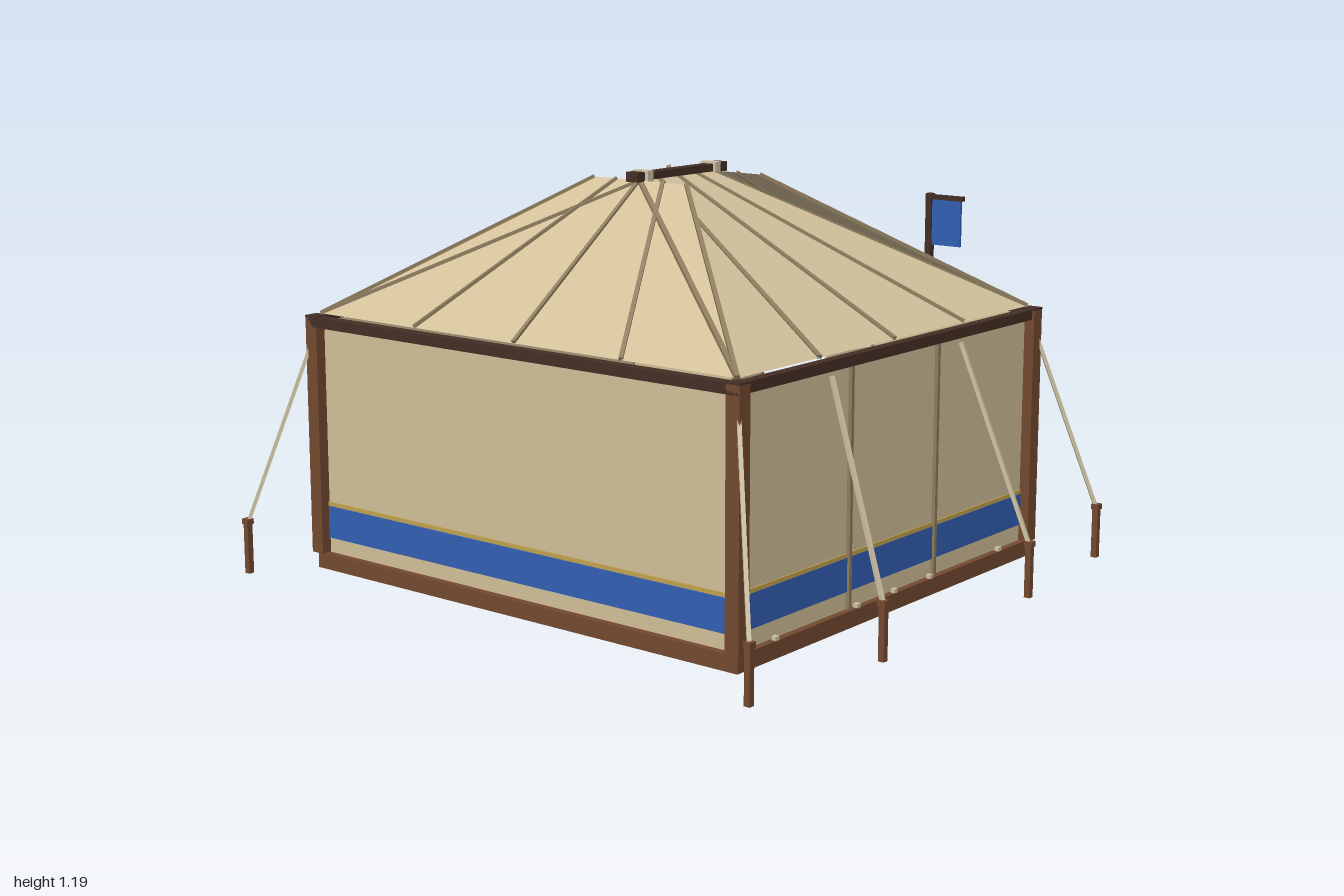
import * as THREE from 'three';

const mat = (name, color, extra = {}) => {
  const m = new THREE.MeshStandardMaterial({ color, ...extra });
  m.name = name;
  return m;
};

export function createModel() {
  const model = new THREE.Group();
  model.name = 'tent';
  const canvas = mat('canvas', 0xd2c09a, { side: THREE.DoubleSide });
  const blue = mat('blue cloth', 0x3260b4);
  const gold = mat('gold trim', 0xc2a350);
  const wood = mat('wood', 0x744a30);
  const darkWood = mat('dark wood', 0x452f26);
  const seam = mat('seam', 0x8f7d5f);
  const rope = mat('rope', 0xd0c3a4);
  const matting = mat('matting', 0xa58f68);

  const add = (name, geometry, material) => {
    const m = new THREE.Mesh(geometry, material);
    m.name = name;
    model.add(m);
    return m;
  };
  // Box given by its size and centre
  const box = (name, material, w, h, d, x, y, z) => {
    const m = add(name, new THREE.BoxGeometry(w, h, d), material);
    m.position.set(x, y, z);
    return m;
  };
  // Square bar between two points
  const bar = (name, material, a, b, w, h = w) => {
    const p = new THREE.Vector3(...a), q = new THREE.Vector3(...b);
    const m = add(name, new THREE.BoxGeometry(w, h, p.distanceTo(q)), material);
    m.position.copy(p).add(q).multiplyScalar(0.5);
    m.lookAt(q);
    return m;
  };
  const sides = [-1, 1];

  // Platform and inner floor
  box('platform', wood, 1.56, 0.048, 1.44, 0, 0.036, 0);
  box('floor', matting, 1.5, 0.006, 1.38, 0, 0.063, 0);

  // Corner posts and top beams
  for (const x of sides) for (const z of sides) {
    box('cornerPost', wood, 0.044, 0.705, 0.044, x * 0.77, 0.4125, z * 0.71);
    box('postCap', darkWood, 0.046, 0.006, 0.046, x * 0.77, 0.765, z * 0.71);
  }
  for (const s of sides) {
    box('endBeam', darkWood, 1.58, 0.03, 0.034, 0, 0.75, s * 0.715);
    box('sideBeam', darkWood, 0.03, 0.03, 1.4, s * 0.77, 0.75, 0);
  }

  // Front wall and side walls
  box('frontWall', canvas, 1.51, 0.69, 0.01, 0, 0.405, 0.695);
  box('frontBand', blue, 1.5, 0.095, 0.006, 0, 0.152, 0.701);
  box('frontTrim', gold, 1.5, 0.012, 0.006, 0, 0.207, 0.701);
  for (const s of sides) {
    box('sideWall', canvas, 0.01, 0.69, 1.39, s * 0.755, 0.405, 0);
    box('sideBand', blue, 0.006, 0.095, 1.38, s * 0.761, 0.157, 0);
    box('sideTrim', gold, 0.006, 0.012, 1.38, s * 0.761, 0.211, 0);
    for (const z of [-0.21, 0.21]) box('wallSeam', seam, 0.012, 0.68, 0.012, s * 0.765, 0.4, z);
    for (const z of [-0.55, -0.18, 0, 0.18, 0.55])
      box('tieLoop', rope, 0.014, 0.012, 0.016, s * 0.773, 0.065, z);
  }

  // Back wall around the doorway
  const door = 0.22, doorTop = 0.6;
  box('lintelWall', canvas, 1.51, 0.75 - doorTop, 0.01, 0, (0.75 + doorTop) / 2, -0.695);
  box('upperBand', blue, 1.5, 0.08, 0.006, 0, 0.67, -0.701);
  box('upperTrim', gold, 1.5, 0.012, 0.006, 0, 0.624, -0.701);
  for (const s of sides) {
    const w = 0.755 - door, x = s * (door + w / 2);
    box('backWall', canvas, w, doorTop - 0.06, 0.01, x, (doorTop + 0.06) / 2, -0.695);
    box('backBand', blue, w - 0.03, 0.095, 0.006, x, 0.152, -0.701);
    box('backTrim', gold, w - 0.03, 0.012, 0.006, x, 0.207, -0.701);
    box('doorFrame', seam, 0.016, doorTop - 0.06, 0.016, s * door, (doorTop + 0.06) / 2, -0.698);
    box('frameTie', rope, 0.022, 0.02, 0.02, s * door, 0.4, -0.708);

    // Door flap swung inward
    const flap = box('doorFlap', canvas, 0.008, 0.52, 0.2, s * (door - 0.02), 0.33, -0.59);
    flap.rotation.y = -s * 0.15;
    box('flapTie', rope, 0.022, 0.022, 0.022, s * (door - 0.03), 0.36, -0.58);

    // Banner pole on the back wall
    box('bannerPole', darkWood, 0.02, 1.02, 0.02, s * 0.41, 0.57, -0.707);
    box('bannerArm', darkWood, 0.13, 0.014, 0.016, s * 0.465, 1.07, -0.704);
    box('banner', blue, 0.1, 0.14, 0.008, s * 0.472, 0.995, -0.704);
  }
  box('doorMat', matting, 0.46, 0.006, 0.15, 0, 0.014, -0.787);
  box('stool', wood, 0.07, 0.07, 0.07, 0.02, 0.1, -0.4);

  // Roof panels: end panels flare at the top, side panels meet at the ridge
  const eaveY = 0.772, topY = 1.165, ex = 0.76, ez = 0.7, top = 0.17;
  const panel = (name, a, b, c, d) => {
    const g = new THREE.BufferGeometry();
    g.setAttribute('position', new THREE.Float32BufferAttribute([...a, ...b, ...c, ...a, ...c, ...d], 3));
    g.computeVertexNormals();
    add(name, g, canvas);
  };
  for (const s of sides) {
    panel('endRoof', [-s * ex, eaveY, s * ez], [s * ex, eaveY, s * ez],
      [s * top, topY, s * top], [-s * top, topY, s * top]);
    panel('sideRoof', [s * ex, eaveY, s * ez], [s * ex, eaveY, -s * ez],
      [0, topY, -s * top], [0, topY, s * top]);
    for (const f of [-1, -0.5, 0, 0.5, 1]) {
      bar('endRib', seam, [f * ex, eaveY + 0.003, s * ez], [f * top, topY + 0.001, s * top], 0.012, 0.01);
      bar('sideRib', seam, [s * ex, eaveY + 0.002, f * ez], [0, topY, f * top], 0.014, 0.01);
    }
  }

  // Ridge beam with end blocks and lashings
  box('ridgeBeam', darkWood, 0.036, 0.022, 0.4, 0, 1.177, 0);
  for (const s of sides) {
    box('ridgeBlock', darkWood, 0.042, 0.028, 0.03, 0, 1.177, s * 0.19);
    box('ridgeLashing', rope, 0.056, 0.032, 0.024, 0, 1.178, s * 0.155);
  }

  // Guy ropes and pegs
  for (const x of sides) for (const z of sides) {
    const guys = [
      [[0.775, 0.72, 0.315], [0.985, 0.15, 0.368]],
      [[0.78, 0.69, 0.72], [0.925, 0.15, 0.862]],
    ];
    for (const [a, b] of guys) {
      const flip = (p) => [p[0] * x, p[1], p[2] * z];
      bar('guyRope', rope, flip(a), flip(b), 0.011);
      box('peg', wood, 0.018, 0.155, 0.018, x * b[0], 0.0775, z * b[2]);
      box('pegHead', wood, 0.024, 0.016, 0.024, x * b[0], 0.157, z * b[2]);
    }
  }
  return model;
}
